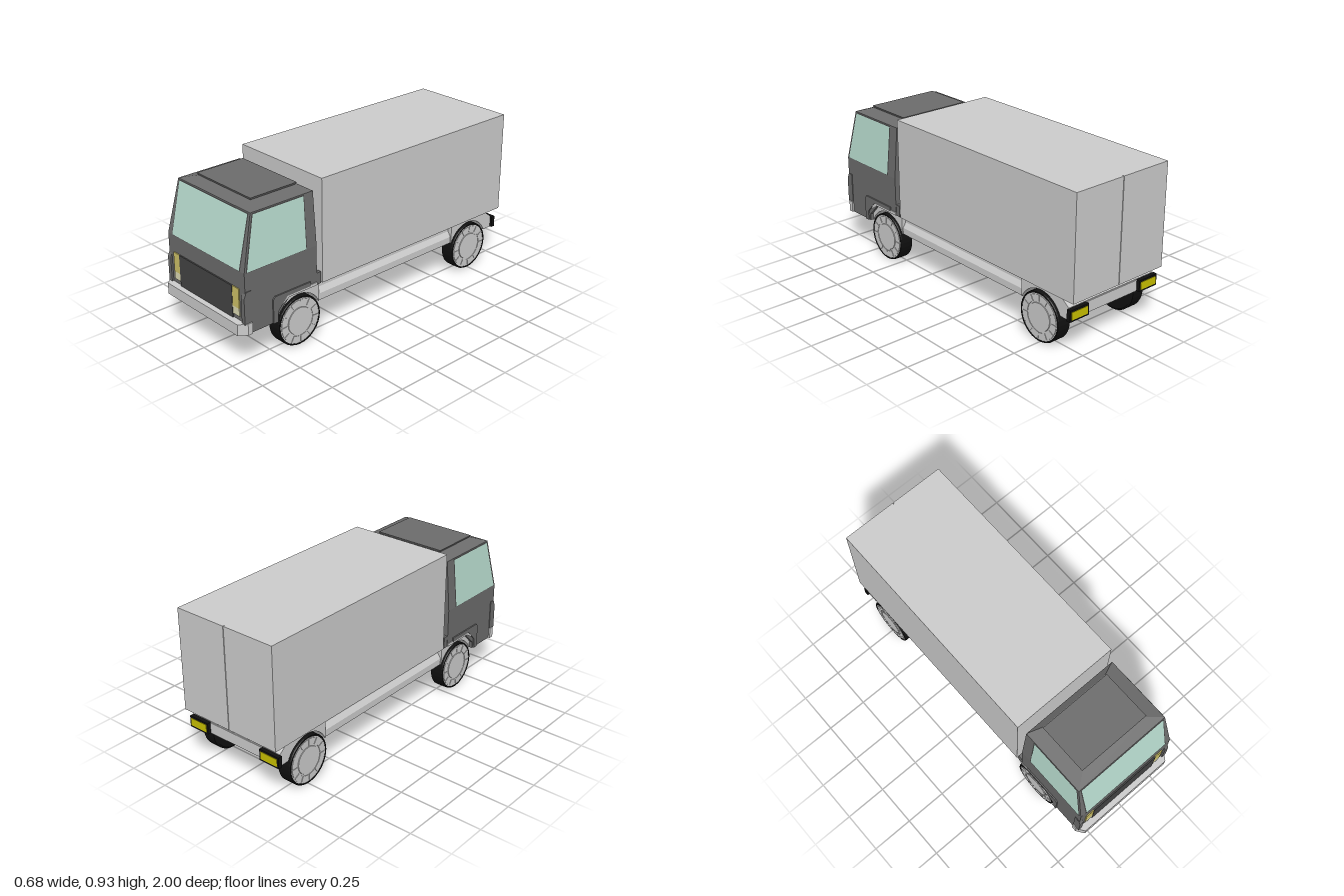
import * as THREE from 'three';

const mat = (color) => new THREE.MeshStandardMaterial({ color, flatShading: true, side: THREE.DoubleSide });

export function createModel() {
  const truck = new THREE.Group();
  truck.name = 'boxTruck';
  const grey = mat(0xcccccc), cabPaint = mat(0x6c6c6c), dark = mat(0x444444), black = mat(0x101010);
  const glass = mat(0xb8dccf), amber = mat(0xcfc268), pale = mat(0xdedbb4), yellow = mat(0xc8c000);

  const add = (name, geo, material, parent = truck) => {
    const m = new THREE.Mesh(geo, material);
    m.name = name;
    parent.add(m);
    return m;
  };
  // Box given by its limits on each axis
  const box = (name, x0, x1, y0, y1, z0, z1, material) =>
    add(name, new THREE.BoxGeometry(Math.abs(x1 - x0), y1 - y0, z1 - z0)
      .translate((x0 + x1) / 2, (y0 + y1) / 2, (z0 + z1) / 2), material);
  const toShape = (pts) => new THREE.Shape(pts.map(([a, b]) => new THREE.Vector2(a, b)));
  const extrude = (shape, depth) =>
    new THREE.ExtrudeGeometry(shape, { depth, bevelEnabled: false, curveSegments: 20 });
  // Side profile of (z, y) points, extruded from x0 to x1
  const profile = (name, shape, x0, x1, material) =>
    add(name, extrude(shape, x1 - x0).rotateY(-Math.PI / 2).translate(x1, 0, 0), material);
  // Flat four-cornered pane
  const pane = (name, corners, material) => {
    const g = new THREE.BufferGeometry();
    g.setAttribute('position', new THREE.Float32BufferAttribute(corners.flat(), 3));
    g.setIndex([0, 1, 2, 0, 2, 3]);
    g.computeVertexNormals();
    add(name, g, material);
  };
  // Stack of rectangular sections [y, half width, back z, front z]
  const loft = (sections) => {
    const pos = [], idx = [];
    sections.forEach(([y, w, b, f]) => pos.push(w, y, f, w, y, b, -w, y, b, -w, y, f));
    for (let s = 0; s < sections.length - 1; s++) {
      for (let i = 0; i < 4; i++) {
        const a = s * 4 + i, c = s * 4 + (i + 1) % 4;
        idx.push(a, c, c + 4, a, c + 4, a + 4);
      }
    }
    const t = (sections.length - 1) * 4;
    idx.push(t, t + 1, t + 2, t, t + 2, t + 3);
    const g = new THREE.BufferGeometry();
    g.setAttribute('position', new THREE.Float32BufferAttribute(pos, 3));
    g.setIndex(idx);
    g.computeVertexNormals();
    return g;
  };

  // Cargo body with two rear doors
  box('cargoBox', -0.33, 0.33, 0.326, 0.93, -0.99, 0.44, grey);
  for (const s of [1, -1]) box('rearDoor', s * 0.002, s * 0.33, 0.326, 0.93, -1, -0.99, grey);

  // Chassis core
  profile('chassis', toShape([[0.74, 0.21], [-0.95, 0.21], [-0.95, 0.28], [-0.89, 0.326],
    [0.67, 0.326], [0.74, 0.25]]), -0.23, 0.23, grey);
  box('rearBeam', -0.3, 0.3, 0.21, 0.275, -0.955, -0.93, grey);

  // Cab: lower shell with wheel arch, tapered upper shell and roof
  profile('cabLower', toShape([[0.96, 0.21], [0.96, 0.56], [0.48, 0.56], [0.48, 0.328],
    [0.67, 0.328], [0.745, 0.25], [0.745, 0.21]]), -0.33, 0.33, cabPaint);
  add('cabUpper', loft([[0.56, 0.33, 0.48, 0.96], [0.865, 0.305, 0.48, 0.89],
    [0.888, 0.22, 0.515, 0.825]]), cabPaint);
  add('roofHatch', loft([[0.886, 0.22, 0.525, 0.82], [0.9, 0.226, 0.52, 0.825]]), cabPaint);

  // Glazing, each pane over a slightly larger dark seal
  const frontZ = (y) => 0.96 - 0.07 * (y - 0.56) / 0.305;
  const sideX = (y) => 0.33 - 0.025 * (y - 0.56) / 0.305;
  for (const [label, m, grow, out] of [['Seal', dark, 0.006, 0.001], ['Glass', glass, 0, 0.003]]) {
    const lo = 0.563 - grow / 2, hi = 0.855 + grow, w = 0.289 + grow;
    const zl = frontZ(lo) + out, zh = frontZ(hi) + out;
    pane('windscreen' + label, [[-w, lo, zl], [w, lo, zl], [w, hi, zh], [-w, hi, zh]], m);
    for (const s of [1, -1]) {
      const xl = s * (sideX(lo) + out), xh = s * (sideX(hi) + out), inset = 0.015 - grow;
      pane('sideWindow' + label, [[xl, lo, frontZ(lo) - inset], [xl, lo, 0.553 - grow],
        [xh, hi, 0.547 - grow], [xh, hi, frontZ(hi) - inset]], m);
    }
  }

  // Front bumper with cut corners
  add('frontBumper', extrude(toShape([[-0.34, 0.925], [0.34, 0.925], [0.34, 0.955], [0.308, 1],
    [-0.308, 1], [-0.34, 0.955]]), 0.066).rotateX(Math.PI / 2).translate(0, 0.275, 0), grey);
  box('grille', -0.23, 0.23, 0.275, 0.46, 0.95, 0.968, dark);

  // Lathe-turned tyre, its axis along x and outer face at +x
  const tyreGeo = new THREE.LatheGeometry([[0, -0.045], [0.135, -0.045], [0.145, -0.038],
    [0.145, 0.036], [0.142, 0.042], [0.134, 0.042], [0.134, 0.034], [0, 0.034]]
    .map(([r, h]) => new THREE.Vector2(r, h)), 32).rotateZ(-Math.PI / 2);
  const discGeo = new THREE.CylinderGeometry(0.135, 0.135, 0.006, 32).rotateZ(-Math.PI / 2);
  const capGeo = new THREE.CylinderGeometry(0.08, 0.084, 0.012, 24).rotateZ(-Math.PI / 2);
  const segment = new THREE.Shape();
  segment.absarc(0, 0, 0.127, 0.03, Math.PI / 6 - 0.03, false);
  segment.absarc(0, 0, 0.09, Math.PI / 6 - 0.03, 0.03, true);
  const segmentGeo = new THREE.ExtrudeGeometry(segment, { depth: 0.005, bevelEnabled: false, curveSegments: 3 })
    .rotateY(Math.PI / 2);
  const wheel = (s, z) => {
    const g = new THREE.Group();
    g.name = 'wheel';
    add('tyre', tyreGeo, black, g);
    add('wheelDisc', discGeo, grey, g).position.x = 0.037;
    add('hubCap', capGeo, grey, g).position.x = 0.038;
    for (let i = 0; i < 12; i++) {
      const m = add('wheelSegment', segmentGeo, grey, g);
      m.position.x = 0.038;
      m.rotation.x = i * Math.PI / 6;
    }
    g.position.set(s * 0.279, 0.148, z);
    if (s < 0) g.rotation.y = Math.PI;
    truck.add(g);
  };

  // Fender side plate with a round arch around the wheel
  const fender = (name, zc, pts, s) => {
    const shape = new THREE.Shape();
    const a = Math.asin((0.21 - 0.148) / 0.157), dz = 0.157 * Math.cos(a);
    shape.moveTo(zc - dz, 0.21);
    pts.forEach(([z, y]) => shape.lineTo(z, y));
    shape.lineTo(zc + dz, 0.21);
    shape.absarc(zc, 0.148, 0.157, a, Math.PI - a, false);
    profile(name, shape, s > 0 ? 0.225 : -0.312, s > 0 ? 0.312 : -0.225, grey);
  };

  for (const s of [1, -1]) {
    wheel(s, 0.595);
    wheel(s, -0.745);
    fender('frontFender', 0.595, [[0.45, 0.21], [0.45, 0.326], [0.67, 0.326], [0.742, 0.26], [0.742, 0.21]], s);
    fender('rearFender', -0.745, [[-0.95, 0.21], [-0.95, 0.28], [-0.89, 0.326], [-0.598, 0.326], [-0.598, 0.21]], s);

    // Side rail with a sloping shoulder
    add('sideRail', extrude(toShape([[0.2, 0.21], [0.305, 0.21], [0.305, 0.25], [0.285, 0.28],
      [0.285, 0.326], [0.2, 0.326]].map(([x, y]) => [s * x, y])), 1.05).translate(0, 0, -0.6), grey);

    // Lamps
    box('headlight', s * 0.23, s * 0.284, 0.345, 0.46, 0.95, 0.966, amber);
    box('indicator', s * 0.23, s * 0.284, 0.3, 0.345, 0.95, 0.966, pale);
    box('tailLightHousing', s * 0.19, s * 0.325, 0.21, 0.277, -0.975, -0.95, black);
    box('tailLight', s * 0.2, s * 0.315, 0.221, 0.266, -0.978, -0.97, yellow);

    // Corner deflector, arch trim and splash guard on the cab
    const span = (a, b) => (s > 0 ? [a, b] : [-b, -a]);
    profile('cornerDeflector', toShape([[0.925, 0.27], [0.97, 0.27], [0.97, 0.42], [0.955, 0.455],
      [0.925, 0.455]]), ...span(0.308, 0.334), cabPaint);
    profile('archTrim', toShape([[0.785, 0.21], [0.785, 0.35], [0.77, 0.365], [0.53, 0.365],
      [0.53, 0.34], [0.69, 0.34], [0.755, 0.27], [0.755, 0.21]]), ...span(0.32, 0.338), cabPaint);
    profile('archStep', toShape([[0.72, 0.3], [0.72, 0.328], [0.69, 0.345], [0.48, 0.345],
      [0.48, 0.328], [0.675, 0.328]]), ...span(0.3, 0.335), grey);
    box('splashGuard', s * 0.305, s * 0.328, 0.326, 0.395, 0.45, 0.482, cabPaint);
  }
  return truck;
}
